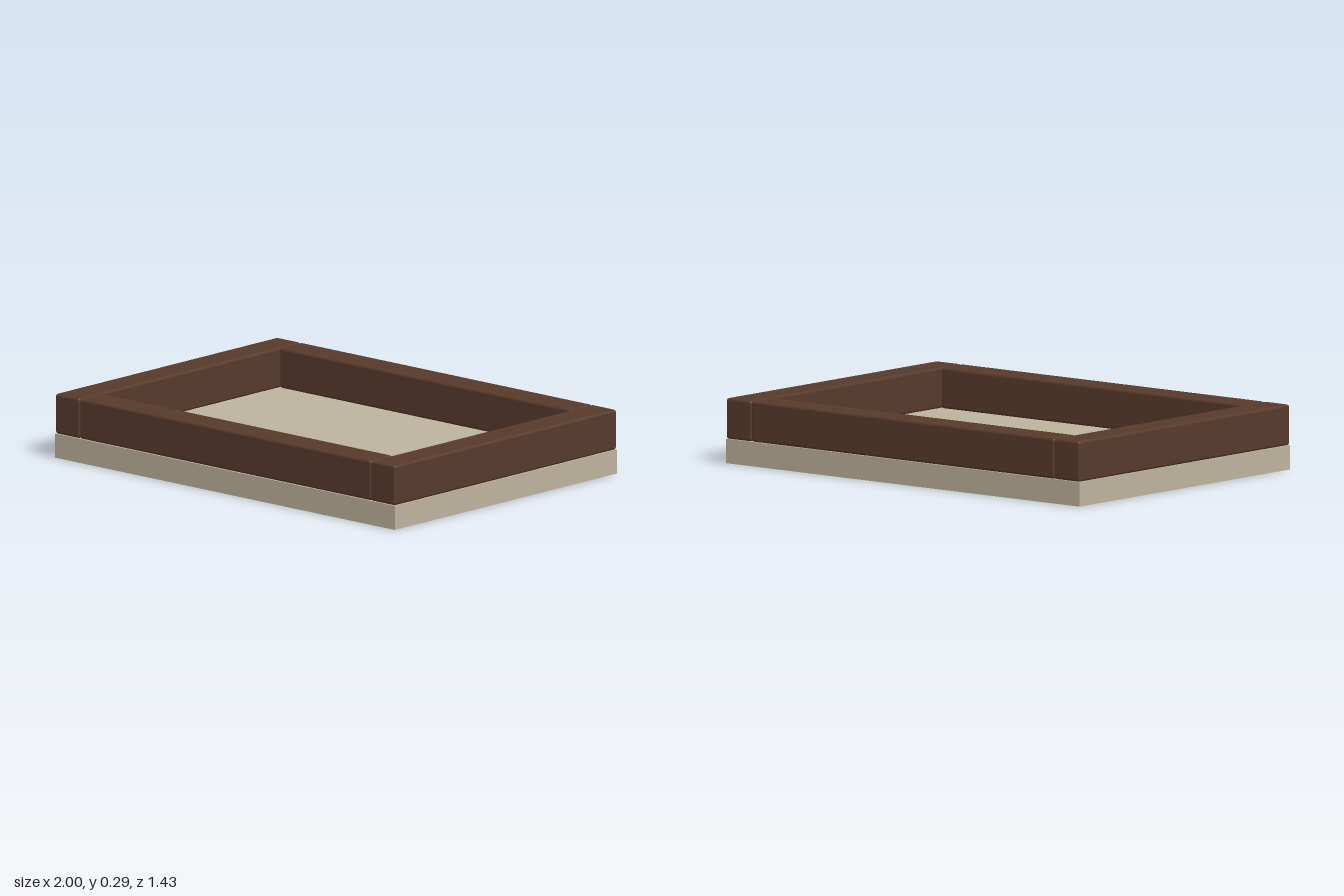
import * as THREE from 'three';
import { RoundedBoxGeometry } from 'three/addons/geometries/RoundedBoxGeometry.js';

export function createModel() {
  const group = new THREE.Group();
  const wood = new THREE.MeshStandardMaterial({ name: 'dark wood', color: 0x573a2b });
  const sand = new THREE.MeshStandardMaterial({ name: 'pale sand', color: 0xbdb39d });

  const unit = 1 / 7; // timber thickness
  const width = 14 * unit, depth = 10 * unit;
  const slabHeight = 0.75 * unit, railHeight = 1.25 * unit;

  const add = (name, geometry, material, x, y, z) => {
    const mesh = new THREE.Mesh(geometry, material);
    mesh.name = name;
    mesh.position.set(x, y, z);
    group.add(mesh);
  };

  // Flat bed under the frame
  add('baseSlab', new THREE.BoxGeometry(width, slabHeight, depth), sand, 0, slabHeight / 2, 0);

  // Softly rounded timbers: full-depth sides, shorter front and back between them
  const sideRail = new RoundedBoxGeometry(unit, railHeight, depth, 3, 0.012);
  const endRail = new RoundedBoxGeometry(width - 2 * unit, railHeight, unit, 3, 0.012);
  const railY = slabHeight + railHeight / 2;
  for (const s of [1, -1]) {
    add(s > 0 ? 'leftRail' : 'rightRail', sideRail, wood, s * (width - unit) / 2, railY, 0);
    add(s > 0 ? 'frontRail' : 'backRail', endRail, wood, 0, railY, s * (depth - unit) / 2);
  }
  return group;
}
